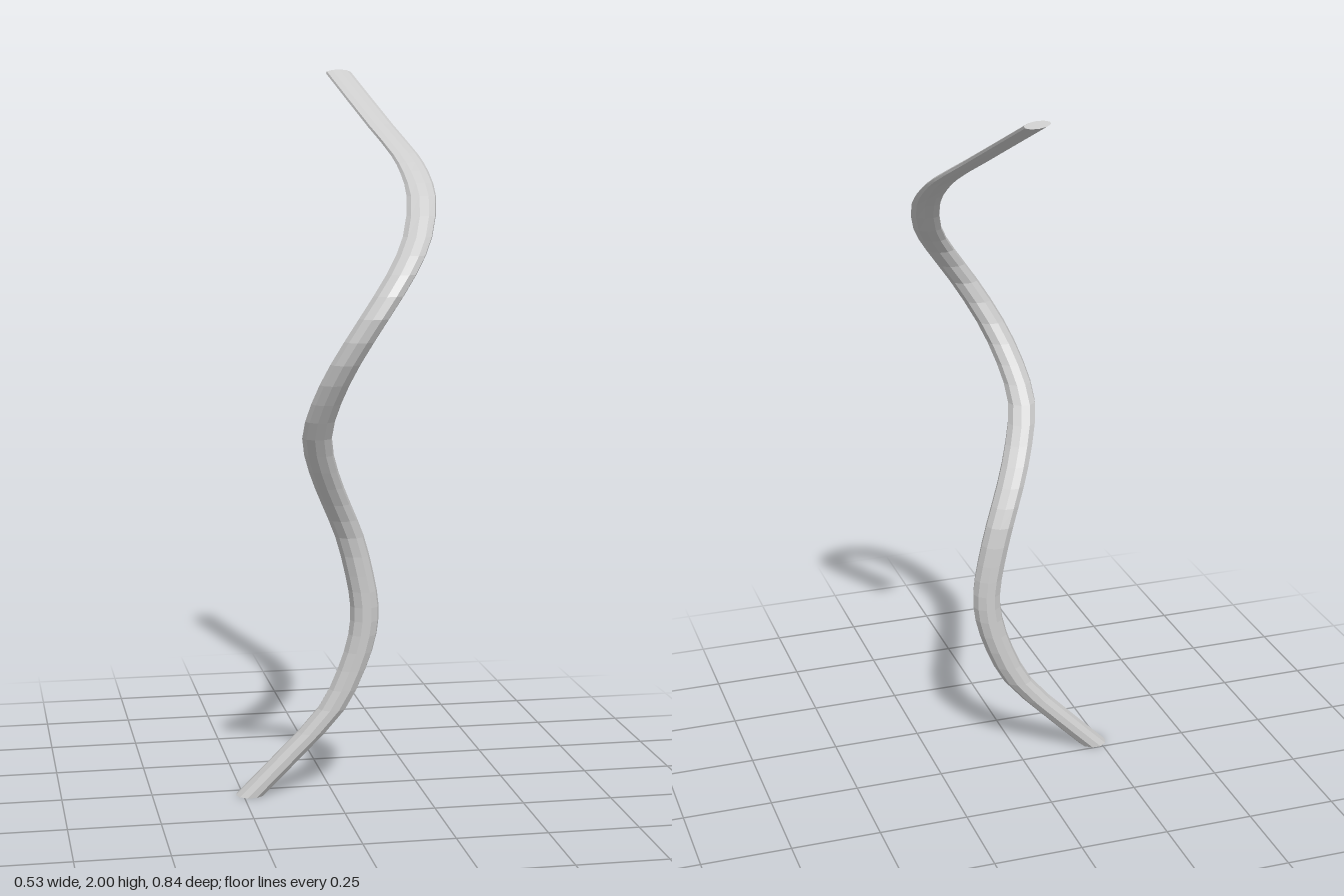
import * as THREE from 'three';

// Centre line of the winding strand, bottom to top
const PATH = [
  [-0.23, 0, 0.04], [-0.12, 0.11, 0.044], [0, 0.24, 0.05], [0.055, 0.35, 0.052],
  [0.085, 0.45, 0.055], [0.09, 0.53, 0.057], [0.075, 0.62, 0.06], [0.045, 0.73, 0.07],
  [0, 0.83, 0.11], [-0.045, 0.93, 0.17], [-0.073, 1.03, 0.23], [-0.06, 1.13, 0.295],
  [-0.02, 1.24, 0.355], [0.05, 1.36, 0.38], [0.13, 1.47, 0.34], [0.19, 1.56, 0.255],
  [0.223, 1.66, 0.15], [0.222, 1.72, 0.07], [0.21, 1.765, 0], [0.172, 1.84, -0.135], [0.102, 1.99, -0.41],
];
const SIDES = 10, ROWS = 40, RADIUS = 0.04, TIP = 0.01;

// Level rings along the path, which tilt and flatten towards the upper end
function strandGeometry() {
  const curve = new THREE.CatmullRomCurve3(PATH.map((p) => new THREE.Vector3(...p)));
  const positions = [], index = [];
  for (let r = 0; r <= ROWS; r++) {
    const c = curve.getPoint(r / ROWS);
    const t = curve.getTangent(r / ROWS);
    const plan = new THREE.Vector3(t.x, 0, t.z).normalize();
    const flat = THREE.MathUtils.smoothstep(c.y, 1.45, 1.95);
    // Thin axis: level at first, square to the path at the tip
    const square = plan.clone().multiplyScalar(t.y);
    square.y = -Math.hypot(t.x, t.z);
    const thin = plan.clone().multiplyScalar(RADIUS * (1 - flat)).addScaledVector(square, TIP * flat);
    for (let s = 0; s < SIDES; s++) {
      const a = (s / SIDES) * Math.PI * 2;
      const p = new THREE.Vector3(Math.cos(a), 0, Math.sin(a));
      const along = p.dot(plan);
      p.addScaledVector(plan, -along).multiplyScalar(RADIUS).addScaledVector(thin, along).add(c);
      positions.push(p.x, p.y, p.z);
    }
  }
  for (let r = 0; r < ROWS; r++) {
    for (let s = 0; s < SIDES; s++) {
      const a = r * SIDES + s, b = r * SIDES + ((s + 1) % SIDES);
      index.push(a, a + SIDES, b, b, a + SIDES, b + SIDES);
    }
  }
  // End caps
  const top = ROWS * SIDES;
  for (let s = 1; s < SIDES - 1; s++) {
    index.push(0, s, s + 1, top, top + s + 1, top + s);
  }
  const geometry = new THREE.BufferGeometry();
  geometry.setAttribute('position', new THREE.Float32BufferAttribute(positions, 3));
  geometry.setIndex(index);
  geometry.computeVertexNormals();
  return geometry;
}

export function createModel() {
  const group = new THREE.Group();
  const material = new THREE.MeshStandardMaterial({ color: 0xcccccc, flatShading: true });
  const strand = new THREE.Mesh(strandGeometry(), material);
  strand.name = 'windingStrand';
  group.add(strand);
  return group;
}
